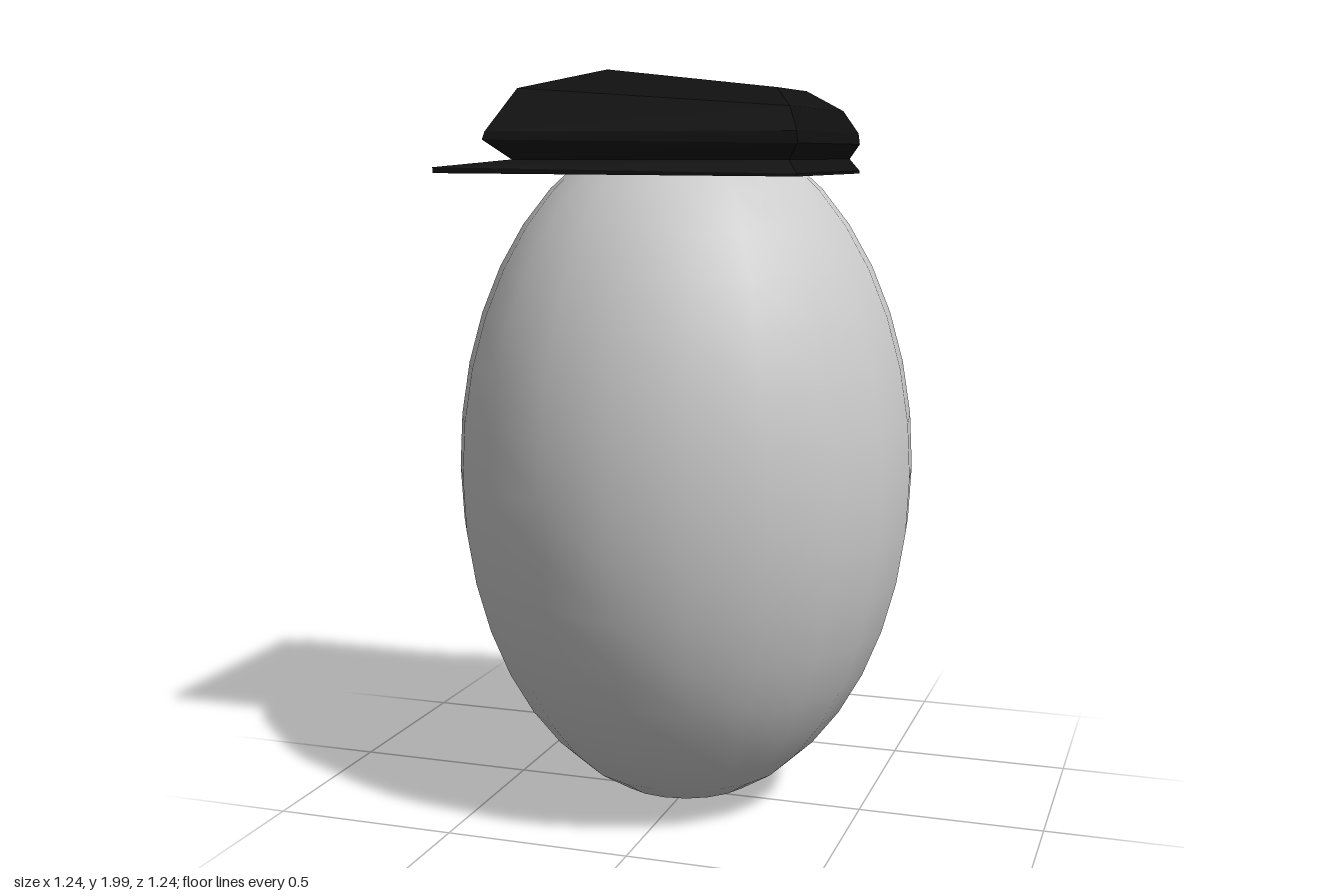
import * as THREE from 'three';

// Stack of rectangular sections, each [xLeft, yLeft, xRight, yRight, halfDepth], capped at both ends
function loft(sections) {
  const rings = sections.map(([xl, yl, xr, yr, d]) => [
    [xl, yl, d], [xr, yr, d], [xr, yr, -d], [xl, yl, -d],
  ]);
  const pos = [];
  const quad = (a, b, c, d) => pos.push(...a, ...b, ...c, ...a, ...c, ...d);
  for (let i = 0; i < rings.length - 1; i++) {
    for (let k = 0; k < 4; k++) {
      const n = (k + 1) % 4;
      quad(rings[i][k], rings[i][n], rings[i + 1][n], rings[i + 1][k]);
    }
  }
  const top = rings[rings.length - 1], base = rings[0];
  quad(top[0], top[1], top[2], top[3]);
  quad(base[3], base[2], base[1], base[0]);
  const geo = new THREE.BufferGeometry();
  geo.setAttribute('position', new THREE.Float32BufferAttribute(pos, 3));
  geo.computeVertexNormals();
  return geo;
}

export function createModel() {
  const model = new THREE.Group();
  model.name = 'eggWithCap';

  // Smooth egg-shaped body
  const bodyGeo = new THREE.SphereGeometry(1, 20, 20);
  bodyGeo.scale(0.62, 0.932, 0.62);
  const body = new THREE.Mesh(bodyGeo, new THREE.MeshStandardMaterial({ color: 0xcccccc }));
  body.name = 'body';
  body.position.y = 0.938;
  model.add(body);

  // Faceted cap: the thin brim sticks out to -x, the crown bulges and slopes down to +x
  const cap = new THREE.Mesh(
    loft([
      [-0.575, 1.735, 0.395, 1.73, 0.353],
      [-0.575, 1.75, 0.395, 1.737, 0.353],
      [-0.36, 1.77, 0.37, 1.77, 0.335],
      [-0.435, 1.82, 0.395, 1.81, 0.35],
      [-0.43, 1.84, 0.392, 1.84, 0.345],
      [-0.36, 1.95, 0.36, 1.9, 0.292],
      [-0.165, 2.0, 0.29, 1.95, 0.155],
    ]),
    new THREE.MeshStandardMaterial({ color: 0x101010 }),
  );
  cap.material.flatShading = true;
  cap.name = 'cap';
  model.add(cap);

  return model;
}
